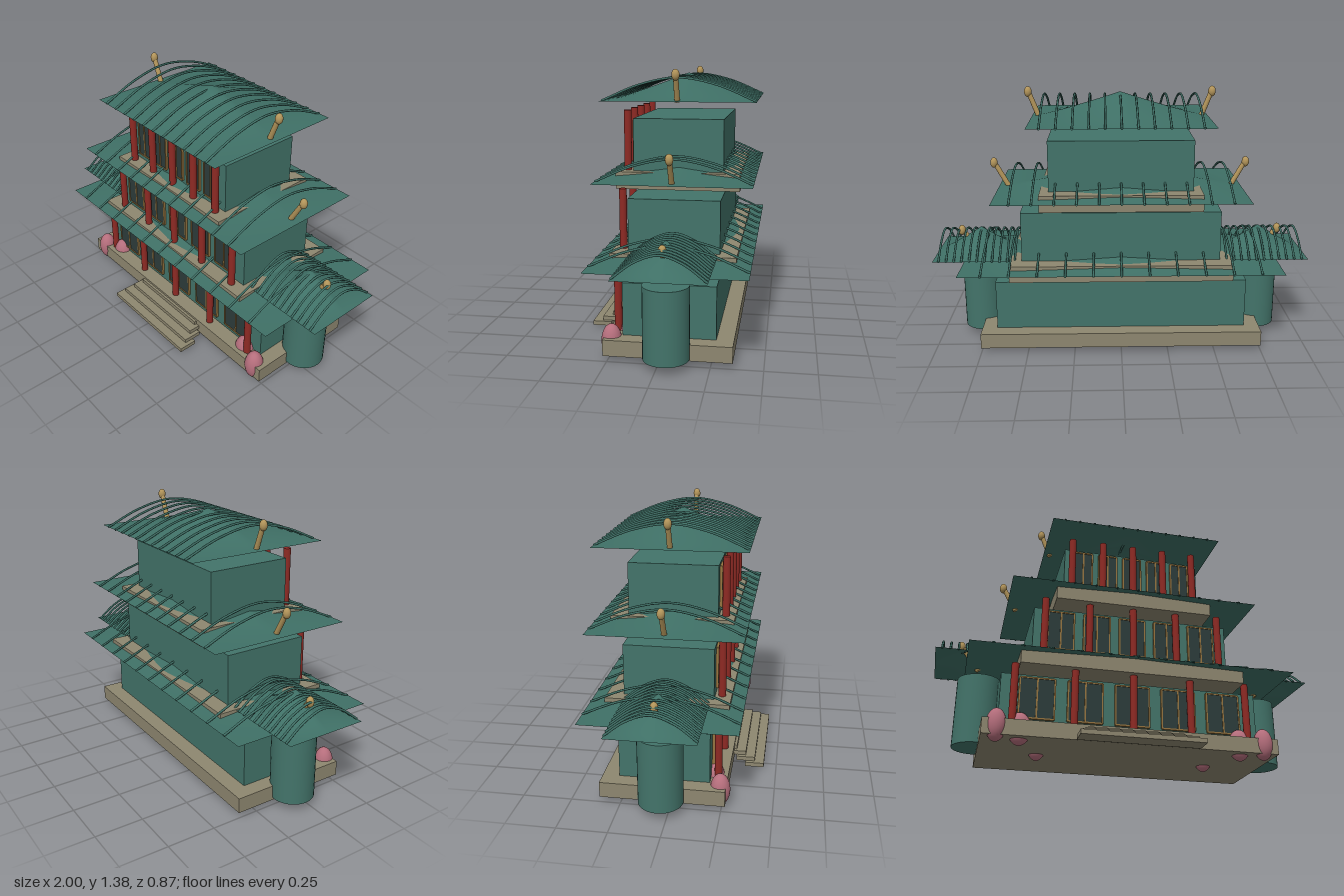
import * as THREE from 'three';

const mat = (name, color, side = THREE.FrontSide) => {
  const m = new THREE.MeshStandardMaterial({ color, side });
  m.name = name;
  return m;
};

export function createModel() {
  const teal = mat('teal wall', 0x43746a);
  const roofTeal = mat('teal roof', 0x3f7066, THREE.DoubleSide);
  const stone = mat('stone', 0x8e8770);
  const red = mat('red lacquer', 0x8e2a24);
  const gold = mat('gold', 0xb3955a);
  const frame = mat('window frame', 0x957440);
  const glass = mat('dark window', 0x2d3c3b);
  const pink = mat('pink blossom', 0xb56e7c);

  const model = new THREE.Group();
  model.name = 'pavilion';
  const ZC = -0.045;

  const add = (parent, name, geo, material, x = 0, y = 0, z = 0) => {
    const m = new THREE.Mesh(geo, material);
    m.name = name;
    m.position.set(x, y, z);
    parent.add(m);
    return m;
  };
  // Box given by its x centre, half width and y / z ranges
  const box = (parent, name, material, x, hw, y0, y1, z0, z1) =>
    add(parent, name, new THREE.BoxGeometry(hw * 2, y1 - y0, z1 - z0), material, x, (y0 + y1) / 2, (z0 + z1) / 2);

  // Peaked roof sheet with arched ribs running front to back
  function roof(name, x, eave, hw, hd) {
    const g = new THREE.Group();
    g.name = name;
    g.position.set(x, eave, ZC);
    const sheet = new THREE.PlaneGeometry(hw * 2, hd * 2, 24, 24).rotateX(-Math.PI / 2);
    const p = sheet.attributes.position;
    for (let i = 0; i < p.count; i++) {
      const u = Math.max(0, 1 - Math.abs(p.getX(i)) / hw);
      const v = Math.max(0, 1 - Math.abs(p.getZ(i)) / hd);
      p.setY(i, 0.13 * Math.pow(u * v, 1.15));
    }
    sheet.computeVertexNormals();
    add(g, 'roofSheet', sheet, roofTeal);
    const arch = new THREE.CatmullRomCurve3([
      [-1, 0], [-0.5, 0.08], [0, 0.115], [0.5, 0.08], [1, 0],
    ].map(([t, y]) => new THREE.Vector3(0, y, t * hd)));
    const rib = new THREE.TubeGeometry(arch, 24, 0.006, 6);
    for (let i = -5; i <= 5; i++) add(g, 'roofRib', rib, roofTeal, (i / 5) * hw * 0.858);
    model.add(g);
  }

  // Leaning gold finials at both ends of a roof
  function finials(eave, hw) {
    for (const s of [-1, 1]) {
      const a = new THREE.Vector3(s * 0.92 * hw, eave, ZC);
      const b = new THREE.Vector3(s * 1.02 * hw, eave + 0.118, ZC);
      const dir = b.clone().sub(a);
      const rod = add(model, 'finialRod', new THREE.CylinderGeometry(0.013, 0.014, dir.length(), 12), gold);
      rod.position.copy(a).lerp(b, 0.5);
      rod.quaternion.setFromUnitVectors(new THREE.Vector3(0, 1, 0), dir.normalize());
      const ball = add(model, 'finialBall', new THREE.SphereGeometry(0.02, 16, 12), gold, s * 1.035 * hw, eave + 0.13, ZC);
      ball.scale.set(1, 1.4, 1);
    }
  }

  // Storeys: plinth, walls, columns, windows and roof
  const storeys = [
    { plinth: 0.75, y0: 0.03, y1: 0.11, wall: 0.67, eave: 0.465, roof: 0.843, col: 0.605 },
    { plinth: 0.585, y0: 0.405, y1: 0.493, wall: 0.525, eave: 0.845, roof: 0.656, col: 0.47 },
    { plinth: 0.42, y0: 0.785, y1: 0.872, wall: 0.375, eave: 1.225, roof: 0.467, col: 0.338 },
  ];
  for (const s of storeys) {
    const g = new THREE.Group();
    g.name = 'storey';
    model.add(g);
    box(g, 'plinth', stone, 0, s.plinth, s.y0, s.y1, -0.355, 0.27);
    box(g, 'walls', teal, 0, s.wall, s.y1, s.y1 + 0.264, -0.27, 0.187);
    const column = new THREE.CylinderGeometry(0.019, 0.019, 0.304, 16);
    for (let i = -2; i <= 2; i++) {
      add(g, 'column', column, red, (i / 2) * s.col, s.y1 + 0.152, 0.222);

      // Two-pane window with a thin frame
      const x = (i / 2) * s.wall * 0.727;
      const hw = s.wall * 0.132;
      const b = s.y1 + 0.035, t = s.y1 + 0.247;
      box(g, 'windowPane', glass, x, hw, b, t, 0.187, 0.196);
      for (const k of [-1, 0, 1]) box(g, 'windowUpright', frame, x + k * hw, 0.004, b, t, 0.187, 0.2);
      for (const y of [b, t]) box(g, 'windowRail', frame, x, hw, y - 0.004, y + 0.004, 0.187, 0.2);
    }
    roof('mainRoof', 0, s.eave, s.roof, 0.385);
    finials(s.eave, s.roof);
  }

  // Round side towers with their own roofs, and blossom bushes
  for (const s of [-1, 1]) {
    add(model, 'tower', new THREE.CylinderGeometry(0.112, 0.112, 0.36, 32), teal, s * 0.765, 0.225, ZC + 0.003);
    roof('towerRoof', s * 0.765, 0.486, 0.235, 0.215);
    for (const [x, z, r] of [[0.68, 0.24, 0.05], [0.565, 0.2, 0.057], [0.45, -0.04, 0.05]]) {
      const bush = add(model, 'bush', new THREE.SphereGeometry(1, 24, 16), pink, s * x, 0.085, z);
      bush.scale.set(r, 0.083, Math.min(r, 0.05));
    }
  }

  // Front steps
  for (let i = 0; i < 4; i++) {
    const y = 0.01 + i * 0.0215;
    box(model, 'step', stone, 0, 0.307 - i * 0.021, y, y + 0.0225, 0.334 - i * 0.05, 0.434 - i * 0.05);
  }

  return model;
}
